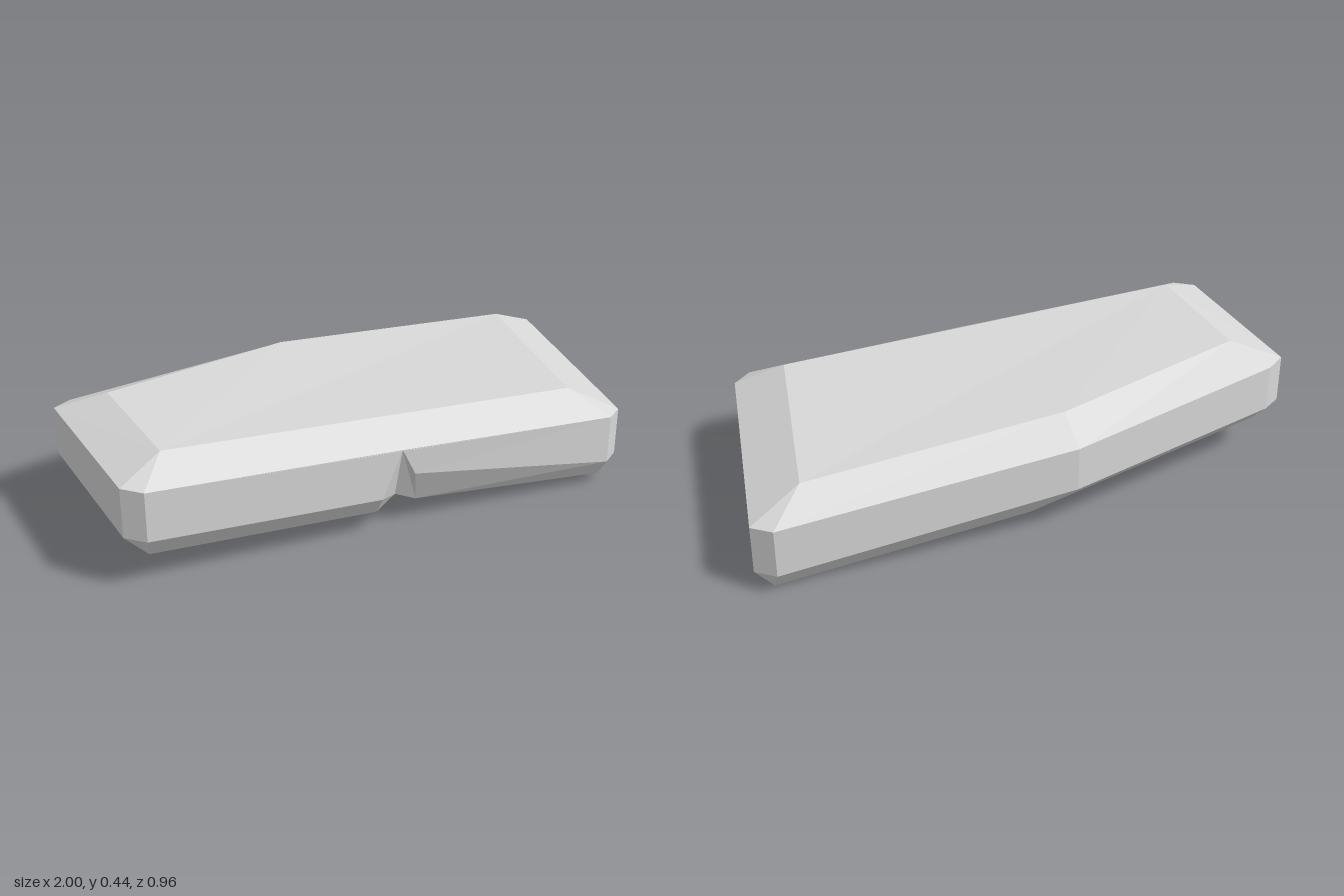
import * as THREE from 'three';

// Bevelled stone slab with a wedge-shaped chip in its front lower edge
export function createModel() {
  const stone = new THREE.MeshStandardMaterial({ color: 0xd8d8d8 });
  stone.name = 'pale stone grey';
  const tris = [];
  const tri = (a, b, c) => tris.push(...a, ...b, ...c);
  const quad = (a, b, c, d) => { tri(a, b, c); tri(a, c, d); };
  const fan = (p, loop) => { for (let i = 0; i < loop.length - 1; i++) tri(p, loop[i], loop[i + 1]); };

  // Outline, anticlockwise from above: x, z, wall bottom y, wall top y, index of the inset corner
  const outline = [
    [-0.96, 0.38, 0.2, 0.382, 0], [-0.897, 0.433, 0.197, 0.378, 0],
    [0.8, 0.48, 0.105, 0.285, 1], [0.865, 0.43, 0.102, 0.28, 1],
    [1, -0.425, 0.074, 0.25, 2], [0.935, -0.48, 0.077, 0.253, 2],
    [-0.11, -0.48, 0.168, 0.33, 3],
    [-0.93, -0.285, 0.202, 0.373, 4], [-1, -0.24, 0.202, 0.378, 4],
  ];
  const top = [[-0.8, 0.445, 0.312], [0.695, 0.365, 0.353], [0.815, 0.336, -0.36], [-0.11, 0.402, -0.35], [-0.83, 0.438, -0.16]];
  const base = [[-0.88, 0.12, 0.385], [0.8, 0.03, 0.428], [0.935, 0, -0.423], [0.04, 0.072, -0.42], [-0.91, 0.127, -0.22]];
  const lower = outline.map(([x, z, y]) => [x, y, z]);
  const upper = outline.map(([x, z, , y]) => [x, y, z]);

  // Chip corners
  const tip = [-0.01, 0.333, 0.457], mid = [0, 0.122, 0.385], inner = [0.05, 0.067, 0.07];
  const leftHigh = [-0.08, 0.157, 0.455], leftLow = [-0.08, 0.082, 0.405];
  const rightHigh = [0.04, 0.23, 0.456], rightLow = [0.075, 0.09, 0.395];

  // Walls and bevels; corners taper to a point above and below
  outline.forEach((o, i) => {
    const j = (i + 1) % outline.length, a = o[4], b = outline[j][4];
    if (a === b) tri(upper[i], upper[j], top[a]);
    else quad(upper[i], upper[j], top[b], top[a]);
    if (i === 1) return;
    quad(lower[i], lower[j], upper[j], upper[i]);
    if (a === b) tri(base[a], lower[j], lower[i]);
    else quad(base[a], base[b], lower[j], lower[i]);
  });

  // Front wall on both sides of the chip
  quad(lower[1], leftHigh, tip, upper[1]);
  quad(base[0], leftLow, leftHigh, lower[1]);
  quad(rightHigh, lower[2], upper[2], tip);
  quad(rightLow, base[1], lower[2], rightHigh);
  tri(upper[1], tip, upper[2]);

  // Chip faces
  quad(leftHigh, leftLow, mid, tip);
  quad(tip, mid, rightLow, rightHigh);

  // Top and underside
  fan(top[0], top.slice(1));
  fan(inner, [mid, leftLow, base[0], base[4], base[3], base[2], base[1], rightLow, mid]);

  const geometry = new THREE.BufferGeometry();
  geometry.setAttribute('position', new THREE.Float32BufferAttribute(tris, 3));
  geometry.computeVertexNormals();
  const slab = new THREE.Mesh(geometry, stone);
  slab.name = 'stoneSlab';
  const model = new THREE.Group();
  model.name = 'stone';
  model.add(slab);
  return model;
}
